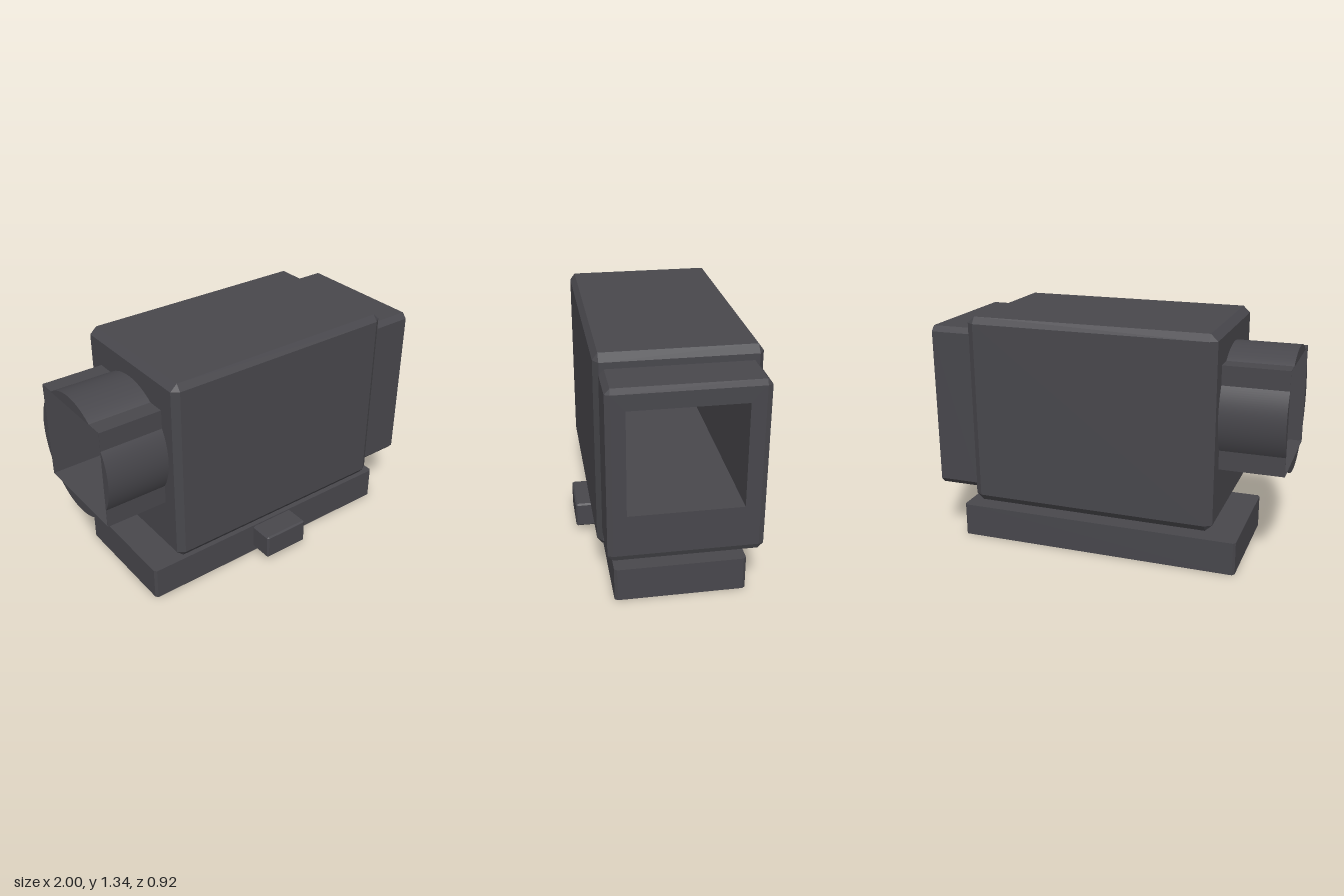
import * as THREE from 'three';
import { toCreasedNormals } from 'three/addons/utils/BufferGeometryUtils.js';

const shell = new THREE.MeshStandardMaterial({ color: 0x48474c });
shell.name = 'charcoal';

// Sight window running the whole length of the housing
const WINDOW = { y: [0.59, 1.157], z: [-0.33, 0.265] };

// Eight-point loop around the x axis: a rectangle with cut corners
function ring(x, [y0, y1], [z0, z1], cy = 0, cz = 0) {
  return [
    [y1, z1 - cz], [y1 - cy, z1], [y0 + cy, z1], [y0, z1 - cz],
    [y0, z0 + cz], [y0 + cy, z0], [y1 - cy, z0], [y1, z0 + cz],
  ].map(([y, z]) => new THREE.Vector3(x, y, z));
}

// Box with chamfered edges, optionally pierced along x by a rectangular hole
function chamferBox(name, [x0, x1], y, z, [cx, cy, cz], hole) {
  const midY = (y[0] + y[1]) / 2, midZ = (z[0] + z[1]) / 2;
  const h = hole || { y: [midY, midY], z: [midZ, midZ] };
  const insetY = [y[0] + cy, y[1] - cy], insetZ = [z[0] + cz, z[1] - cz];
  const rings = [
    ring(x0, h.y, h.z), ring(x0, insetY, insetZ),
    ring(x0 + cx, y, z, cy, cz), ring(x1 - cx, y, z, cy, cz),
    ring(x1, insetY, insetZ), ring(x1, h.y, h.z),
  ];
  const points = [];
  const addTriangle = (a, b, c) => {
    if (new THREE.Triangle(a, b, c).getArea() > 1e-8) points.push(a, b, c);
  };
  rings.forEach((r, i) => {
    const next = rings[(i + 1) % rings.length];
    for (let j = 0; j < 8; j++) {
      const k = (j + 1) % 8;
      addTriangle(r[j], r[k], next[k]);
      addTriangle(r[j], next[k], next[j]);
    }
  });
  const geometry = new THREE.BufferGeometry().setFromPoints(points);
  geometry.computeVertexNormals();
  const mesh = new THREE.Mesh(geometry, shell);
  mesh.name = name;
  return mesh;
}

// Rear eyepiece: square sleeve with a rounded segment on each side
function createEyepiece() {
  const group = new THREE.Group();
  group.name = 'eyepiece';
  const wall = 0.003;
  group.add(chamferBox('eyepieceSleeve', [-1, -0.63],
    [WINDOW.y[0] - wall, WINDOW.y[1] + wall],
    [WINDOW.z[0] - wall, WINDOW.z[1] + wall], [0, 0, 0], WINDOW));

  const radius = 0.35;
  for (let i = 0; i < 4; i++) {
    const distance = i % 2 ? 0.2835 : 0.2975;
    const half = Math.acos(distance / radius), mid = i * Math.PI / 2;
    const shape = new THREE.Shape();
    shape.absarc(0, 0, radius, mid - half, mid + half, false);
    shape.closePath();
    const extruded = new THREE.ExtrudeGeometry(shape, {
      depth: 0.37, bevelEnabled: false, curveSegments: 16,
    });
    extruded.rotateY(-Math.PI / 2);
    const mesh = new THREE.Mesh(toCreasedNormals(extruded, 0.4), shell);
    mesh.name = 'eyepieceSegment';
    mesh.position.set(-0.63, 0.8735, -0.0325);
    group.add(mesh);
  }
  return group;
}

export function createModel() {
  const model = new THREE.Group();
  model.name = 'opticalSight';
  model.add(
    chamferBox('housing', [-0.645, 0.76], [0.265, 1.343], [-0.46, 0.388], [0.04, 0.037, 0.027], WINDOW),
    chamferBox('frontHood', [0.74, 1], [0.333, 1.272], [-0.435, 0.363], [0.012, 0.03, 0.027], WINDOW),
    createEyepiece(),
    // Mount floats just under the housing
    chamferBox('mountBase', [-0.765, 0.876], [0, 0.19], [-0.387, 0.318], [0.012, 0, 0.015]),
    chamferBox('mountLatch', [-0.085, 0.195], [0.04, 0.188], [0.315, 0.46], [0.01, 0.009, 0.009]),
  );
  return model;
}
